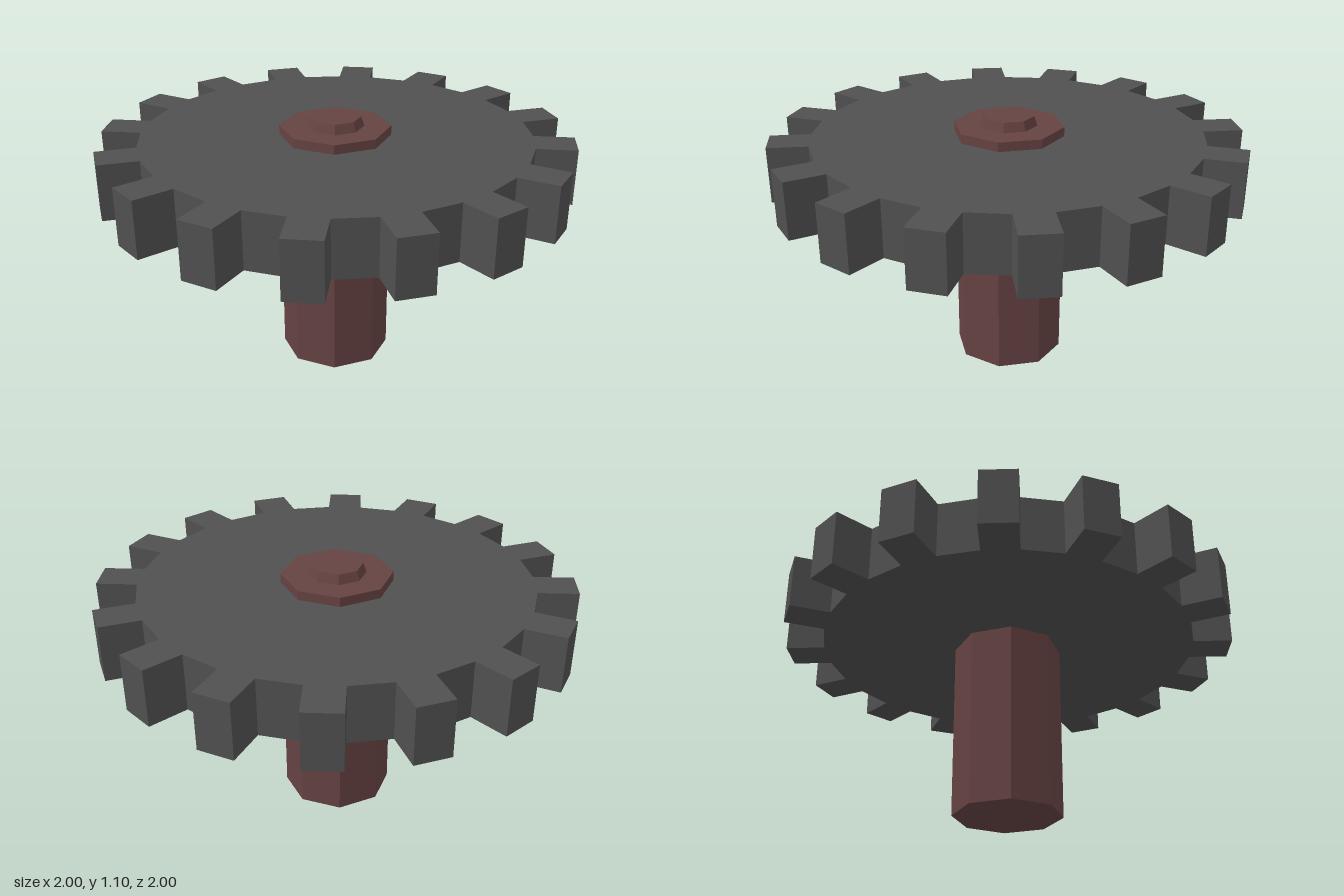
import * as THREE from 'three';

export function createModel() {
  const model = new THREE.Group();
  const iron = new THREE.MeshStandardMaterial({ color: 0x505050, flatShading: true });
  const rust = new THREE.MeshStandardMaterial({ color: 0x664242, flatShading: true });

  const add = (name, geometry, material, x, y, z) => {
    const mesh = new THREE.Mesh(geometry, material);
    mesh.name = name;
    mesh.position.set(x, y, z);
    model.add(mesh);
  };

  // Gear wheel: sixteen straight-sided teeth joined by flat valleys
  const teeth = 16, halfWidth = 0.076, root = 0.825, tip = 0.996;
  const outline = [];
  for (let i = 0; i < teeth; i++) {
    const angle = THREE.MathUtils.degToRad(5.6) - (i * 2 * Math.PI) / teeth;
    for (const [side, radius] of [[1, root], [1, tip], [-1, tip], [-1, root]]) {
      outline.push(new THREE.Vector2(side * halfWidth, radius).rotateAround(new THREE.Vector2(), -angle));
    }
  }
  const gear = new THREE.ExtrudeGeometry(new THREE.Shape(outline), { depth: 0.24, bevelEnabled: false });
  gear.rotateX(-Math.PI / 2);
  add('gearWheel', gear, iron, 0, 0.78, 0);

  // Eight-sided prism with flats facing the axes, sized across its flats
  const octagon = (top, bottom, height) => {
    const k = Math.cos(Math.PI / 8);
    return new THREE.CylinderGeometry(top / k, bottom / k, height, 8, 1, false, Math.PI / 8);
  };

  // Axle running through the wheel, with a small tapered cap
  add('axle', octagon(0.218, 0.218, 1.06), rust, -0.002, 0.53, -0.004);
  add('axleCap', octagon(0.1, 0.113, 0.04), rust, -0.002, 1.08, -0.004);

  return model;
}
